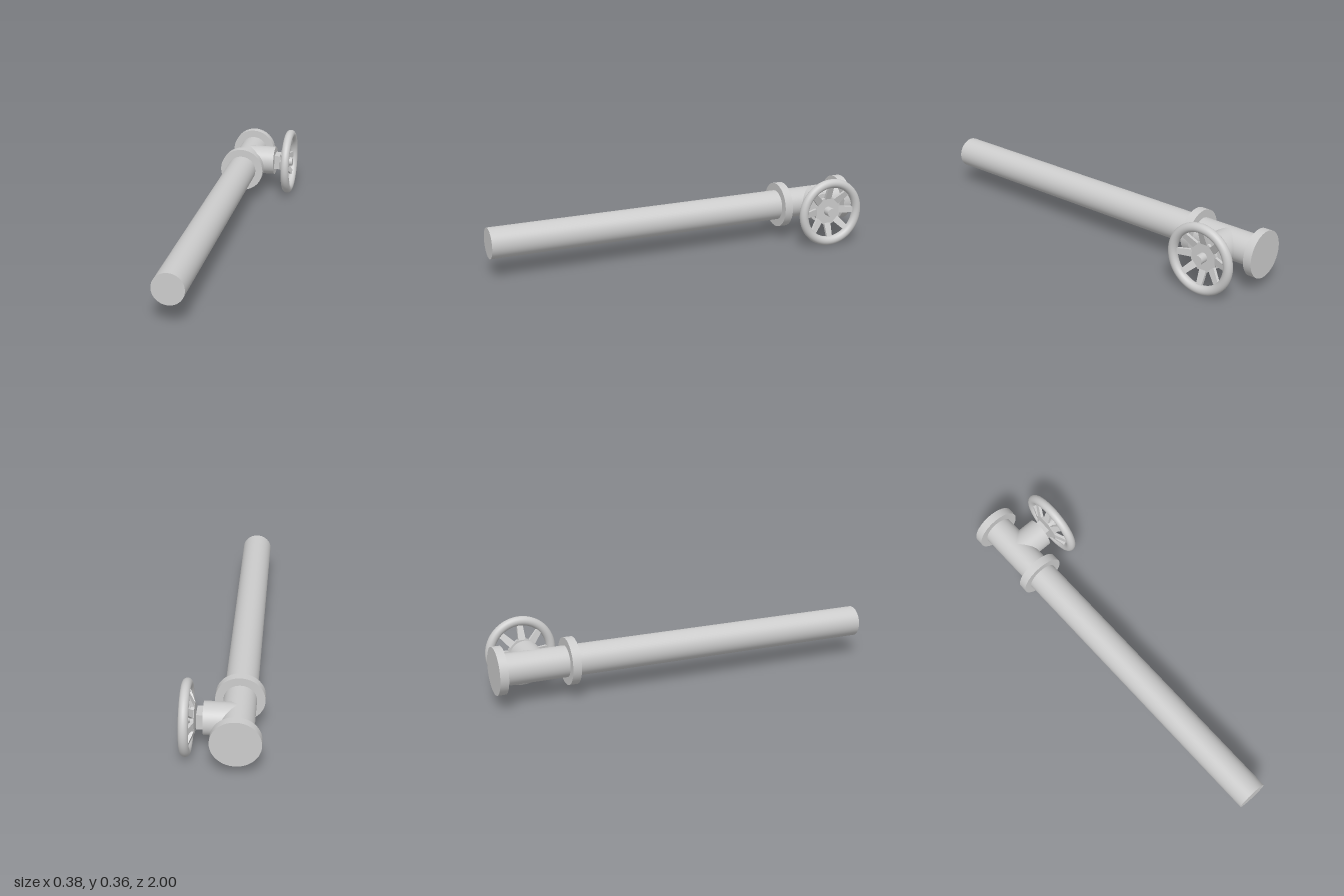
import * as THREE from 'three';

const PIPE_X = -0.072, AXIS_Y = 0.184, VALVE_Z = -0.797;
const PIPE_R = 0.079, FLANGE_R = 0.119;

const material = new THREE.MeshStandardMaterial({ color: 0xcccccc });

function addMesh(parent, name, geometry) {
  const mesh = new THREE.Mesh(geometry, material);
  mesh.name = name;
  parent.add(mesh);
  return mesh;
}

// Cylinder along z, between z0 and z1, on the pipe axis
function alongZ(parent, name, radius, z0, z1) {
  const geometry = new THREE.CylinderGeometry(radius, radius, z1 - z0, 64).rotateX(Math.PI / 2);
  addMesh(parent, name, geometry).position.set(PIPE_X, AXIS_Y, (z0 + z1) / 2);
}

// Cylinder along x, between x0 and x1, on the valve axis
function alongX(parent, name, radius, x0, x1, sides = 64) {
  const geometry = new THREE.CylinderGeometry(radius, radius, x1 - x0, sides).rotateZ(-Math.PI / 2);
  const mesh = addMesh(parent, name, geometry);
  mesh.position.x = (x0 + x1) / 2;
  return mesh;
}

// Slanted, slightly tapered spoke running from the hub out into the rim
function spokeGeometry() {
  const inner = 0.066, outer = 0.155;
  const geometry = new THREE.BoxGeometry(0.016, outer - inner, 1);
  const p = geometry.attributes.position;
  for (let i = 0; i < p.count; i++) {
    const t = p.getY(i) > 0 ? 1 : 0;
    p.setX(i, p.getX(i) + THREE.MathUtils.lerp(0.134, 0.17, t));
    p.setY(i, THREE.MathUtils.lerp(inner, outer, t));
    p.setZ(i, p.getZ(i) * THREE.MathUtils.lerp(0.038, 0.028, t));
  }
  geometry.computeVertexNormals();
  return geometry;
}

export function createModel() {
  const model = new THREE.Group();
  model.name = 'pipeWithValve';

  // Main pipe and its two flanges
  alongZ(model, 'pipe', PIPE_R, -0.99, 1);
  alongZ(model, 'endFlange', FLANGE_R, -1, -0.957);
  alongZ(model, 'middleFlange', FLANGE_R, -0.638, -0.594);

  // Side branch with a square stem
  const valve = new THREE.Group();
  valve.name = 'valve';
  valve.position.set(0, AXIS_Y, VALVE_Z);
  model.add(valve);
  alongX(valve, 'branch', PIPE_R, PIPE_X, 0.086);
  addMesh(valve, 'stem', new THREE.BoxGeometry(0.042, 0.079, 0.079)).position.x = 0.097;

  // Handwheel: rim, hub plate, boss and spokes
  const wheel = new THREE.Group();
  wheel.name = 'handwheel';
  valve.add(wheel);
  const rim = new THREE.TorusGeometry(0.1585, 0.0235, 24, 80).rotateY(Math.PI / 2);
  addMesh(wheel, 'rim', rim).position.x = 0.1665;
  alongX(wheel, 'hub', 0.076, 0.126, 0.142, 8).rotation.x = Math.PI / 8;
  alongX(wheel, 'boss', 0.024, 0.13, 0.186, 32);
  const spoke = spokeGeometry();
  for (let i = 0; i < 8; i++) {
    addMesh(wheel, 'spoke', spoke).rotation.x = (i * Math.PI) / 4;
  }

  return model;
}
